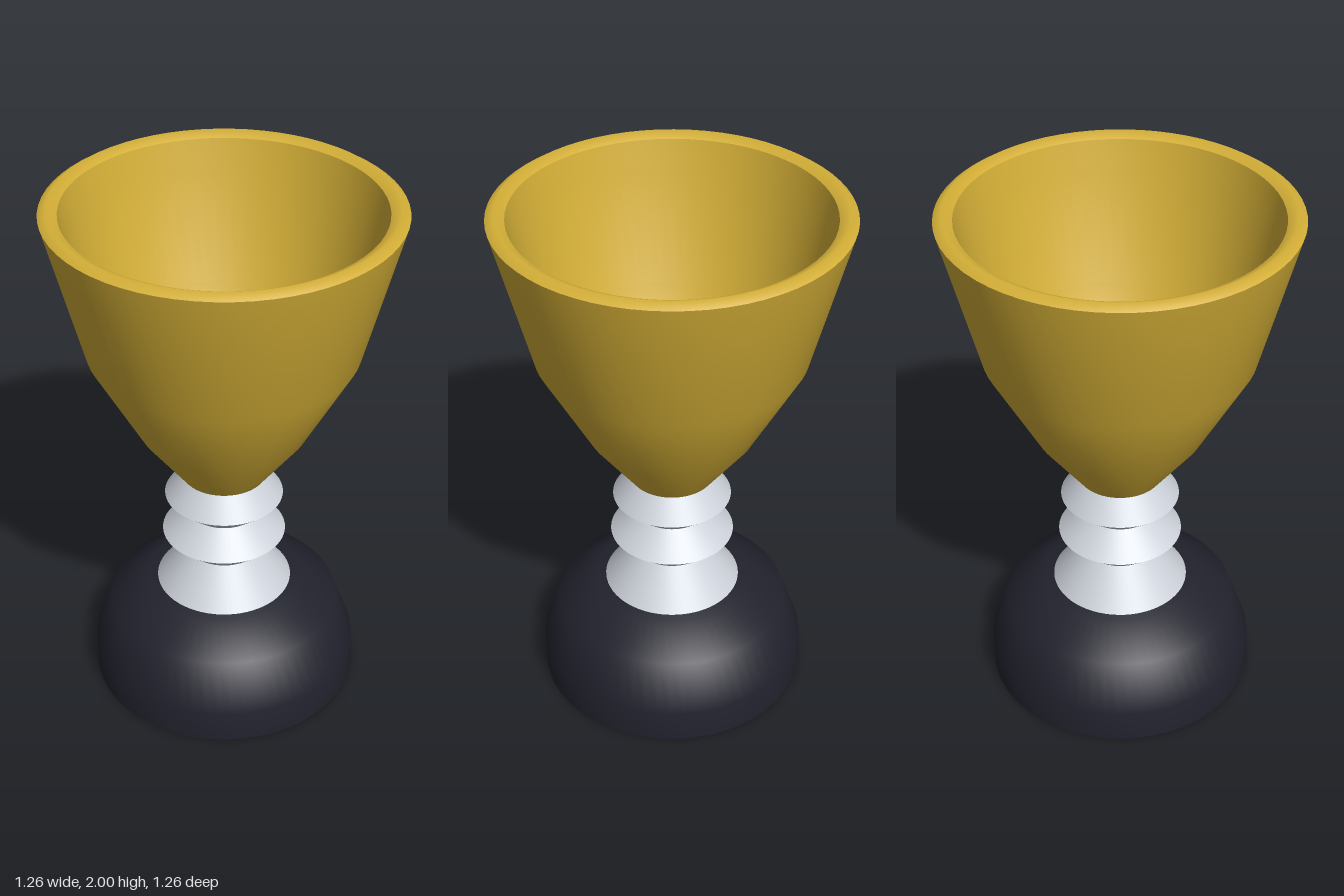
import * as THREE from 'three';
import { toCreasedNormals } from 'three/addons/utils/BufferGeometryUtils.js';

const SEGMENTS = 64;

function material(name, color) {
  const m = new THREE.MeshStandardMaterial({ color });
  m.name = name;
  return m;
}

// Turned part: profile of [radius, height] pairs, running from the bottom outside to the top
function turned(name, profile, mat, crease = 0.72) {
  const points = profile.map(([r, y]) => new THREE.Vector2(r, y));
  const geometry = toCreasedNormals(new THREE.LatheGeometry(points, SEGMENTS), crease);
  const mesh = new THREE.Mesh(geometry, mat);
  mesh.name = name;
  return mesh;
}

export function createModel() {
  const gold = material('gold', 0xd4af37);
  const silver = material('silver', 0xcdd2da);
  const black = material('blackPlinth', 0x22222e);

  const trophy = new THREE.Group();
  trophy.name = 'trophyCup';

  // Rounded plinth with a flat underside and top
  trophy.add(turned('plinth', [
    [0, 0], [0.505, 0], [0.505, 0.13], [0.437, 0.32], [0.295, 0.408], [0, 0.408],
  ], black));

  // Flared foot and two sharp rings
  trophy.add(turned('stem', [
    [0.257, 0.408], [0.145, 0.555], [0.233, 0.635], [0.135, 0.725],
    [0.222, 0.803], [0.155, 0.893], [0, 0.893],
  ], silver));

  // Outside of the bowl
  trophy.add(turned('bowlOutside', [
    [0, 0.892], [0.158, 0.892], [0.31, 1.1], [0.492, 1.44], [0.63, 1.98],
  ], gold));

  // Raised lip
  trophy.add(turned('rim', [
    [0.63, 1.98], [0.6, 2], [0.563, 1.98],
  ], gold, 1.1));

  // Hollow inside of the bowl
  trophy.add(turned('bowlInside', [
    [0.563, 1.98], [0.54, 1.88], [0.432, 1.46], [0.26, 1.14], [0.12, 0.99], [0, 0.96],
  ], gold));

  return trophy;
}
